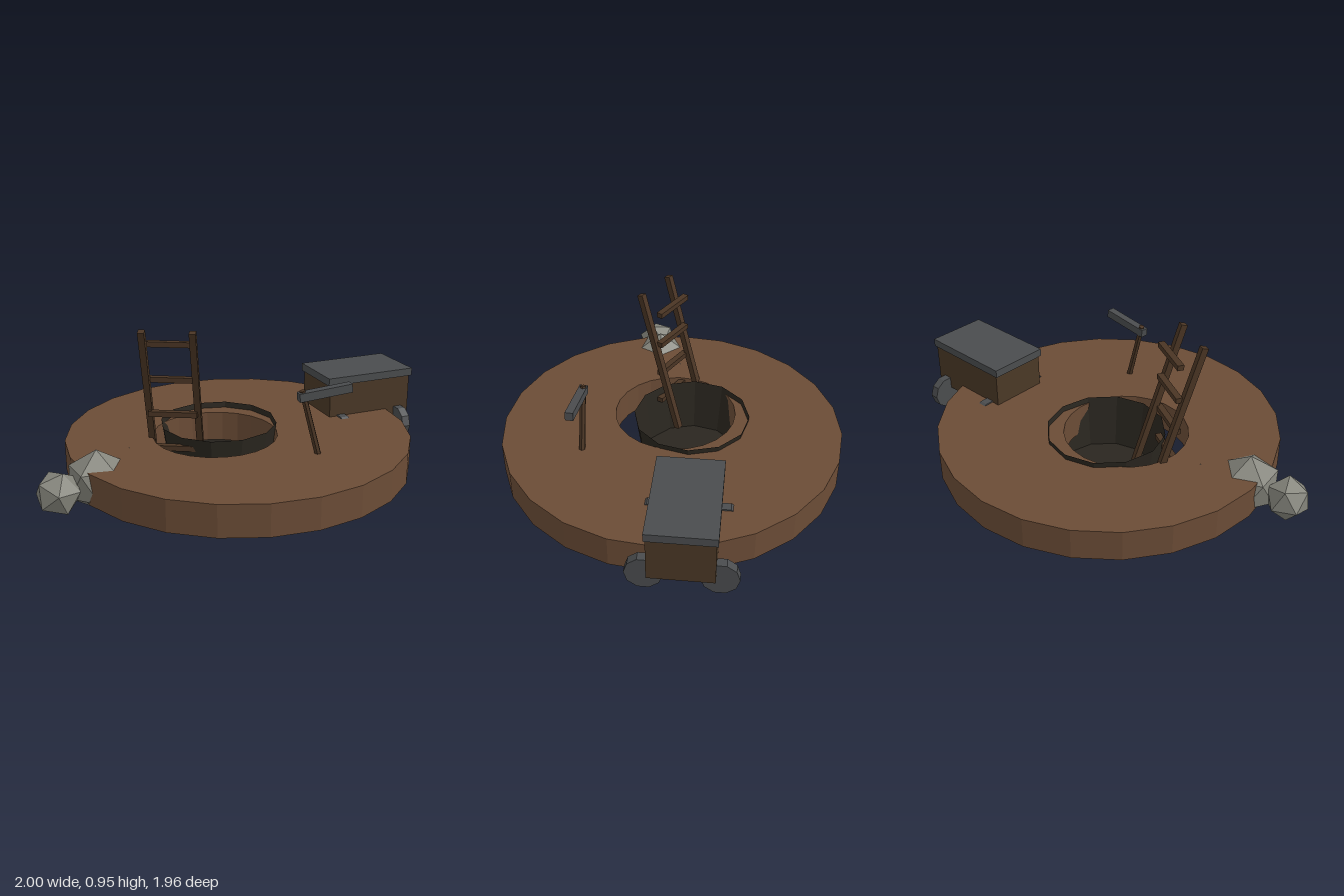
import * as THREE from 'three';

const mat = (color, side = THREE.FrontSide) =>
  new THREE.MeshStandardMaterial({ color, side, flatShading: true });
const DIRT = mat(0x6b4c36), SHAFT = mat(0x2a261f, THREE.DoubleSide), WOOD = mat(0x4a3524),
  CRATE = mat(0x4a3826), IRON = mat(0x4a4c4e), STONE = mat(0x85857c);

function add(parent, name, geometry, material, x = 0, y = 0, z = 0) {
  const mesh = new THREE.Mesh(geometry, material);
  mesh.name = name;
  mesh.position.set(x, y, z);
  parent.add(mesh);
  return mesh;
}

function group(parent, name, x = 0, y = 0, z = 0) {
  const g = new THREE.Group();
  g.name = name;
  g.position.set(x, y, z);
  parent.add(g);
  return g;
}

export function createModel() {
  const model = new THREE.Group();
  model.name = 'mineEntrance';

  // Thick ring of earth with an off-centre hole (shape y becomes -z)
  const ring = new THREE.Shape().absarc(0, 0, 0.98, 0, Math.PI * 2);
  ring.holes.push(new THREE.Path().absarc(-0.125, -0.062, 0.355, 0, Math.PI * 2, true));
  const ground = new THREE.ExtrudeGeometry(ring, { depth: 0.178, bevelEnabled: false, curveSegments: 12 });
  ground.rotateX(-Math.PI / 2);
  add(model, 'groundRing', ground, DIRT, -0.02, 0.1, -0.007);

  // Open tapered shaft with a floor
  const shaft = group(model, 'shaft', -0.14, 0, -0.064);
  add(shaft, 'shaftWall', new THREE.CylinderGeometry(0.337, 0.293, 0.312, 12, 1, true), SHAFT, 0, 0.156, 0);
  const floor = new THREE.CircleGeometry(0.293, 12).rotateX(-Math.PI / 2);
  add(shaft, 'shaftFloor', floor, SHAFT, 0, 0.002, 0);

  // Leaning rails with level rungs in one upright plane
  const ladder = group(model, 'ladder', -0.355, 0, 0);
  for (const side of [-1, 1]) {
    const rail = add(ladder, 'ladderRail', new THREE.BoxGeometry(0.036, 0.88, 0.036), WOOD, side * 0.135, 0.522, 0.214);
    rail.rotation.x = 0.3;
  }
  for (let i = 0; i < 4; i++)
    add(ladder, 'ladderRung', new THREE.BoxGeometry(0.27, 0.03, 0.036), WOOD, 0, 0.25 + i * 0.198, 0.22);

  // Tool stuck in the earth: slanted handle with an iron bar across its top
  const tool = group(model, 'pickaxe');
  const bottom = new THREE.Vector3(0.455, 0.22, 0.285), top = new THREE.Vector3(0.352, 0.642, 0.33);
  const axis = top.clone().sub(bottom);
  const handle = add(tool, 'pickaxeHandle', new THREE.CylinderGeometry(0.017, 0.019, axis.length(), 6), WOOD);
  handle.position.copy(bottom).lerp(top, 0.5);
  handle.quaternion.setFromUnitVectors(new THREE.Vector3(0, 1, 0), axis.normalize());
  const head = add(tool, 'pickaxeHead', new THREE.BoxGeometry(0.3, 0.047, 0.045), IRON, 0.47, 0.621, 0.28);
  head.rotation.set(0, 0.42, 0.09, 'YZX');

  // Cart: crate, lid and four discs
  const cart = group(model, 'cart', 0.66, 0, -0.557);
  cart.rotation.y = 0.5;
  add(cart, 'cartBody', new THREE.BoxGeometry(0.544, 0.26, 0.34), CRATE, 0, 0.347, 0);
  add(cart, 'cartLid', new THREE.BoxGeometry(0.572, 0.046, 0.356), IRON, 0, 0.498, 0);
  const wheel = new THREE.CylinderGeometry(0.098, 0.098, 0.05, 10).rotateZ(Math.PI / 2);
  for (const x of [-0.198, 0.198])
    for (const z of [-0.19, 0.19]) add(cart, 'cartWheel', wheel, IRON, x, 0.193, z);

  // Rocks: [x, y, z, radius, rotation]; a z turn of 0.553 stands one corner straight up
  const rocks = [
    [-0.875, 0.172, 0.7, 0.125, [0.35, 0.5, 0.2]],
    [-0.705, 0.19, 0.555, 0.17, [0, 0, 0.553]],
    [-0.47, 0.17, 0.65, 0.105, [0, 0.4, 0.553]],
    [-0.585, 0.165, 0.32, 0.115, [0, 1.1, 0.553]],
  ];
  for (const [x, y, z, r, turn] of rocks)
    add(model, 'rock', new THREE.IcosahedronGeometry(r, 0), STONE, x, y, z).rotation.set(...turn);

  return model;
}
